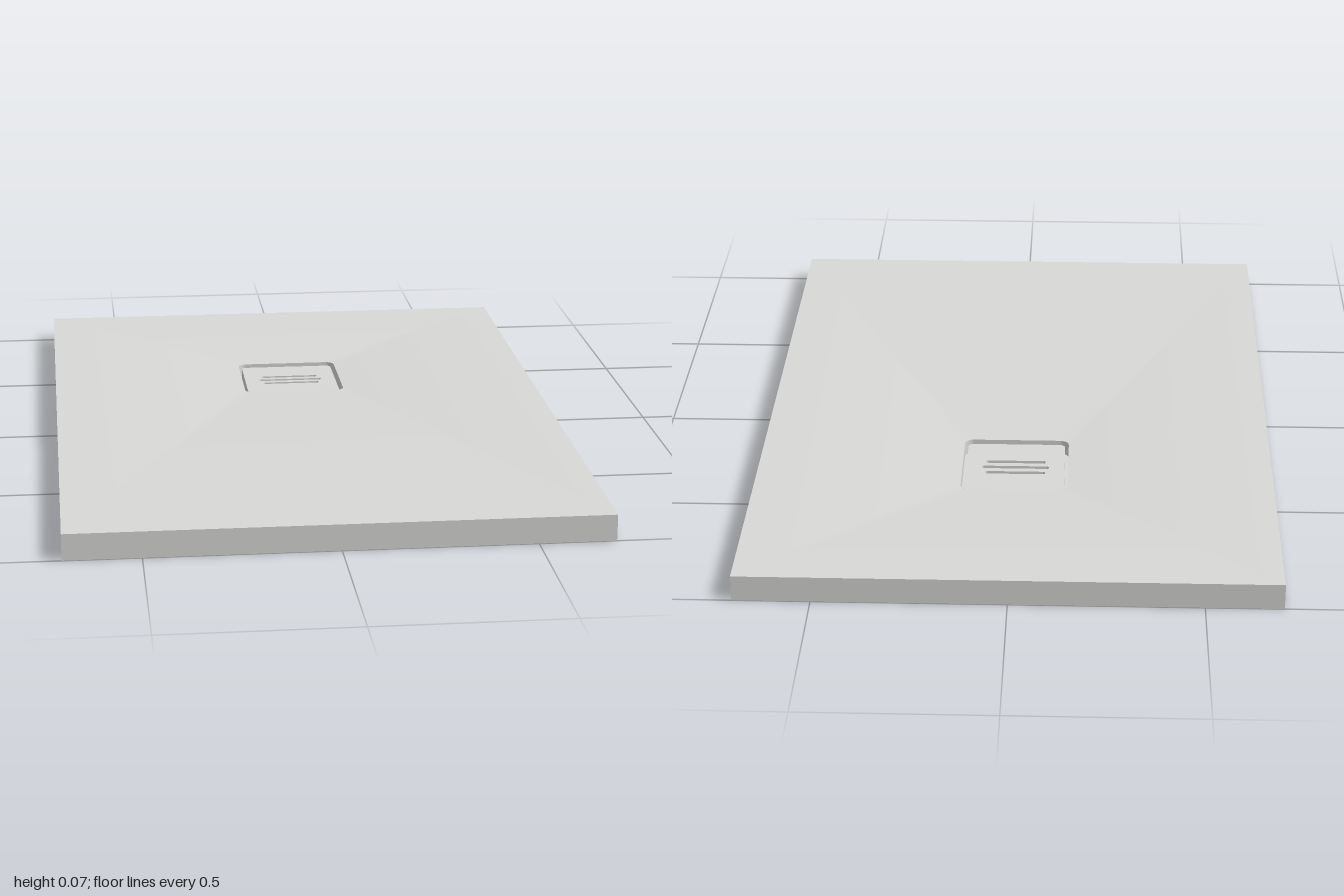
import * as THREE from 'three';

const CORNER_STEPS = 6;
const DRAIN_Z = -0.345;

// Rounded rectangle loop in the xz plane at height y
function loop(cz, hx, hz, r, y) {
  const pts = [];
  for (let c = 0; c < 4; c++) {
    const sx = c === 0 || c === 3 ? 1 : -1;
    const sz = c < 2 ? 1 : -1;
    for (let i = 0; i <= CORNER_STEPS; i++) {
      const a = (c + i / CORNER_STEPS) * Math.PI / 2;
      pts.push(new THREE.Vector3(sx * (hx - r) + r * Math.cos(a), y, cz + sz * (hz - r) + r * Math.sin(a)));
    }
  }
  return pts;
}

// Skin through a row of loops
function loft(loops) {
  const n = loops[0].length, pos = [], index = [];
  loops.forEach(l => l.forEach(p => pos.push(p.x, p.y, p.z)));
  for (let k = 0; k < loops.length - 1; k++) {
    for (let i = 0; i < n; i++) {
      const j = (i + 1) % n, a = k * n, b = a + n;
      index.push(a + i, b + i, a + j, a + j, b + i, b + j);
    }
  }
  const g = new THREE.BufferGeometry();
  g.setAttribute('position', new THREE.Float32BufferAttribute(pos, 3));
  g.setIndex(index);
  g.computeVertexNormals();
  return g;
}

// Loops blended between two outlines, with an eased height
function blend(from, to, steps, power) {
  return Array.from({ length: steps + 1 }, (_, k) => {
    const t = k / steps;
    return from.map((p, i) => {
      const q = p.clone().lerp(to[i], t);
      q.y = p.y + (to[i].y - p.y) * Math.pow(t, power);
      return q;
    });
  });
}

// Flat outline with rounded corners or ends
function roundedPath(Type, cx, cy, w, h, r) {
  const p = new Type(), x = w / 2 - r, y = h / 2 - r;
  p.absarc(cx + x, cy + y, r, 0, Math.PI / 2);
  p.absarc(cx - x, cy + y, r, Math.PI / 2, Math.PI);
  p.absarc(cx - x, cy - y, r, Math.PI, Math.PI * 1.5);
  p.absarc(cx + x, cy - y, r, Math.PI * 1.5, Math.PI * 2);
  p.closePath();
  return p;
}

export function createModel() {
  const group = new THREE.Group();
  const stone = new THREE.MeshStandardMaterial({ color: 0xd8d8d6 });
  stone.name = 'light grey stone';

  const add = (name, geometry) => {
    const mesh = new THREE.Mesh(geometry, stone);
    mesh.name = name;
    group.add(mesh);
    return mesh;
  };

  const outer = y => loop(0, 0.7, 1, 0, y);
  const drain = y => loop(DRAIN_Z, 0.145, 0.145, 0.025, y);
  const centre = y => loop(DRAIN_Z, 0, 0, 0, y);
  const rim = loop(-0.0325, 0.6, 0.9225, 0.07, 0);

  // Tray: dished floor and straight sides
  const dish = drop => blend(outer(0.07 - drop), drain(0.05 - drop), 10, 2);
  add('trayFloor', loft(dish(0)));
  add('traySides', loft([outer(0), outer(0.07)]));

  // Underside: bottom flange, thin shell following the dish, drain housing
  add('bottomFlange', loft([rim, outer(0)]));
  add('floorUnderside', loft(dish(0.005).reverse()));
  add('drainHousingSides', loft([drain(0), drain(0.045)]));
  add('drainHousingBase', loft([centre(0), drain(0)]));

  // Drain pit
  add('drainPitWalls', loft([drain(0.05), drain(0.01)]));
  add('drainPitFloor', loft([drain(0.01), centre(0.01)]));

  // Cover plate with three slots, set a little below the floor
  const plate = roundedPath(THREE.Shape, 0, 0, 0.27, 0.27, 0.015);
  [[-0.031, 0.165], [0, 0.185], [0.031, 0.165]].forEach(([y, w]) =>
    plate.holes.push(roundedPath(THREE.Path, 0, y, w, 0.014, 0.0069)));
  const cover = add('drainCover', new THREE.ExtrudeGeometry(plate, { depth: 0.032, bevelEnabled: false, curveSegments: 6 }));
  cover.rotation.x = -Math.PI / 2;
  cover.position.set(0, 0.01, DRAIN_Z);

  return group;
}
